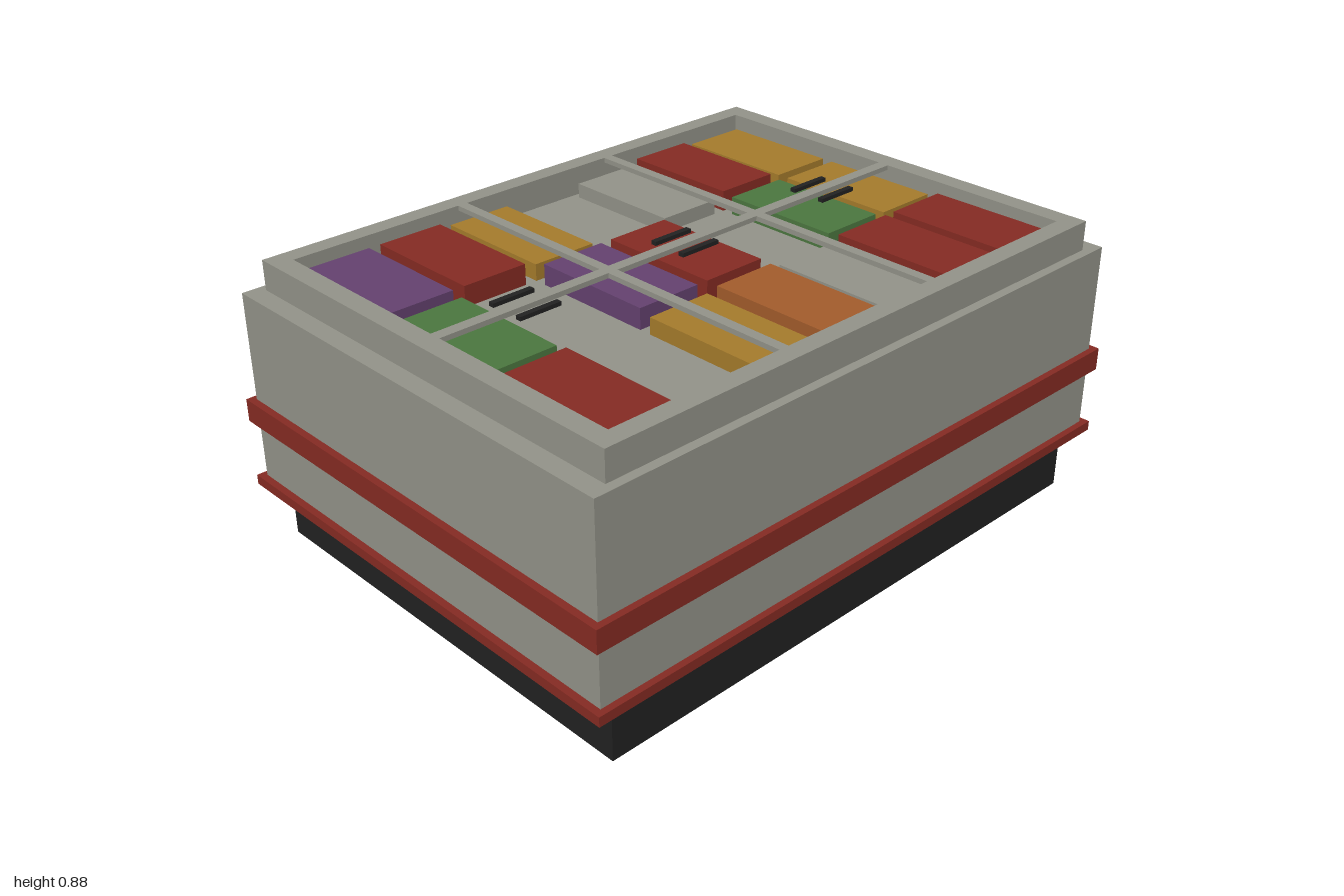
import * as THREE from 'three';

const mat = (name, color) => {
  const m = new THREE.MeshStandardMaterial({ color });
  m.name = name;
  return m;
};

export function createModel() {
  const model = new THREE.Group();
  model.name = 'chestFreezer';
  const grey = mat('warm grey', 0x94948a);
  const red = mat('red', 0x862b23);
  const black = mat('black', 0x222222);
  const yellow = mat('mustard', 0xa67c2c);
  const green = mat('green', 0x4c7840);
  const purple = mat('purple', 0x654270);
  const orange = mat('orange', 0xa45d2c);

  const add = (parent, name, geometry, material) => {
    const mesh = new THREE.Mesh(geometry, material);
    mesh.name = name;
    parent.add(mesh);
    return mesh;
  };

  // Box given by its centre in x and z, and its bottom and top heights
  const box = (parent, name, material, x, z, w, d, y0, y1) =>
    add(parent, name, new THREE.BoxGeometry(w, y1 - y0, d), material)
      .position.set(x, (y0 + y1) / 2, z);

  // Rectangular ring: outer and inner half sizes, bottom and top heights
  const corners = (x, z) => [[-x, -z], [x, -z], [x, z], [-x, z]].map(p => new THREE.Vector2(...p));
  const ring = (name, material, ox, oz, ix, iz, y0, y1) => {
    const shape = new THREE.Shape(corners(ox, oz));
    shape.holes.push(new THREE.Path(corners(ix, iz).reverse()));
    const g = new THREE.ExtrudeGeometry(shape, { depth: y1 - y0, bevelEnabled: false });
    g.rotateX(-Math.PI / 2).translate(0, y0, 0);
    add(model, name, g, material);
  };

  // Cabinet: hollow plinth, body, bumper rails and raised rim
  ring('plinth', black, 0.92, 0.7, 0.914, 0.694, 0, 0.18);
  box(model, 'body', grey, 0, 0, 1.956, 1.456, 0.18, 0.79);
  ring('lowerRail', red, 1, 0.748, 0.978, 0.728, 0.18, 0.21);
  ring('bumperRail', red, 1, 0.748, 0.978, 0.728, 0.39, 0.46);
  ring('rim', grey, 0.92, 0.7, 0.858, 0.642, 0.79, 0.88);

  // Lid dividers level with the rim
  const lids = new THREE.Group();
  lids.name = 'lidFrame';
  model.add(lids);
  box(lids, 'longDivider', grey, 0, 0, 1.72, 0.036, 0.865, 0.88);
  for (const x of [-0.285, 0.285])
    box(lids, 'crossDivider', grey, x, 0, 0.032, 1.29, 0.865, 0.88);

  // Slim handle on each of the six lids
  for (const x of [-0.572, 0, 0.572])
    for (const z of [-0.055, 0.055])
      box(lids, 'handle', black, x, z, 0.136, 0.018, 0.868, 0.88);

  // Packages in three rows of seven, some places empty
  const goods = new THREE.Group();
  goods.name = 'packages';
  model.add(goods);
  const kinds = {
    P: [purple, 0.853], R: [red, 0.853], Y: [yellow, 0.84],
    G: [green, 0.845], O: [orange, 0.85], W: [grey, 0.835],
  };
  ['PRY-WRY', 'G-PR-GY', 'R-YOWRR'].forEach((row, j) => {
    [...row].forEach((key, i) => {
      if (!kinds[key]) return;
      const [material, top] = kinds[key];
      box(goods, 'package', material, (i - 3) * 0.245, (j - 1) * 0.425, 0.208, 0.388, 0.785, top);
    });
  });

  return model;
}
